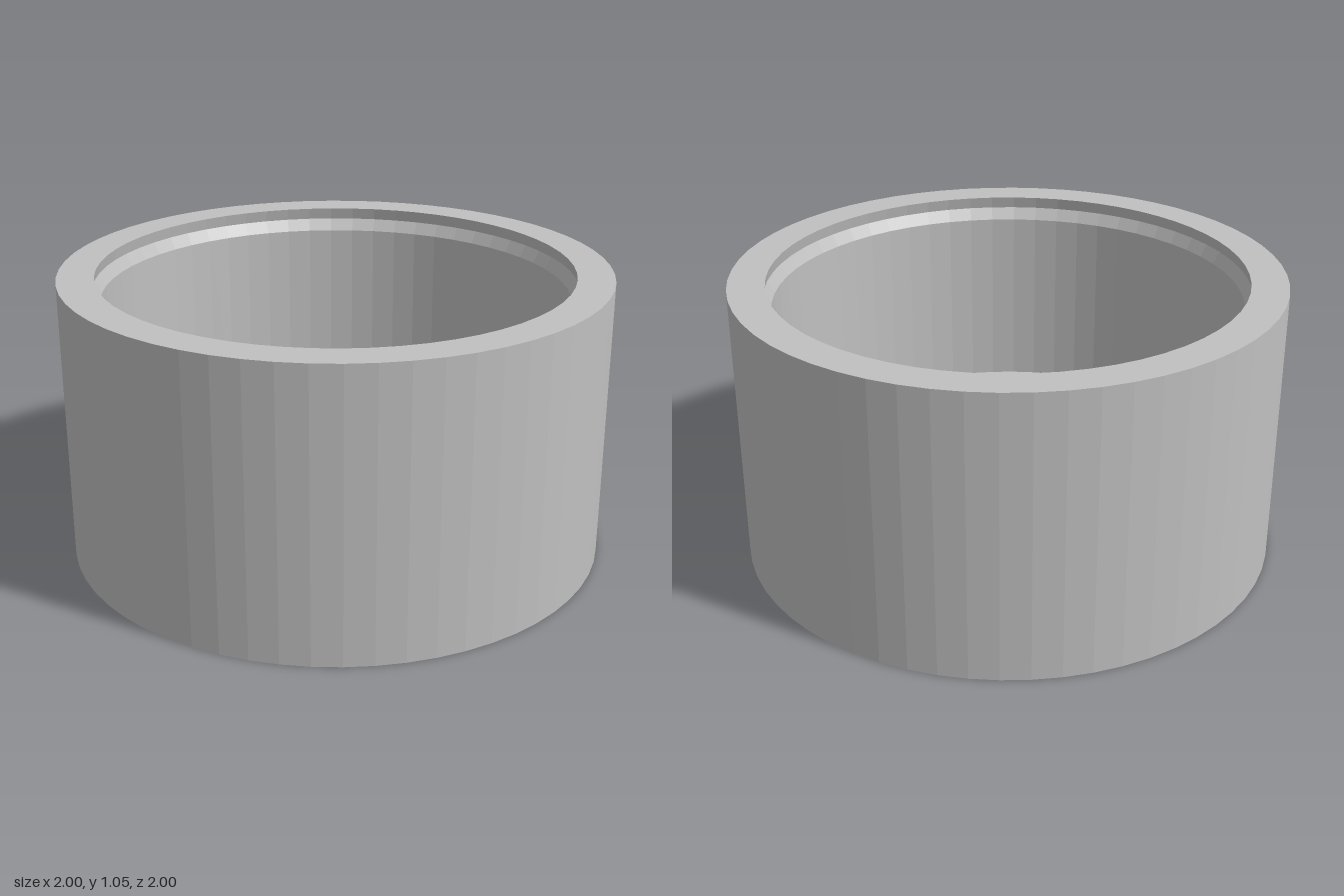
import * as THREE from 'three';
import { toCreasedNormals } from 'three/addons/utils/BufferGeometryUtils.js';

const HEIGHT = 1.05, FLOOR = 0.26, OUTER = 1, INNER = 0.85;
const SIDES = 60, HOLE_SIDES = 32;

// Bores through the floor: [x, z, radius]
const BORES = [[0, 0, 0.2]];
for (const x of [-0.47, 0.47]) for (const z of [-0.47, 0.47]) BORES.push([x, z, 0.12]);

// Points of a regular polygon, so that plates and turned walls share corners
function ring(cx, cy, r, n) {
  return Array.from({ length: n }, (_, i) => {
    const a = (i / n) * Math.PI * 2;
    return new THREE.Vector2(cx + r * Math.cos(a), cy + r * Math.sin(a));
  });
}

// Faceted turned surface; a profile running downwards faces the axis
function turned(profile, sides) {
  const points = profile.map(([r, y]) => new THREE.Vector2(r, y));
  return toCreasedNormals(new THREE.LatheGeometry(points, sides), 0.02);
}

// Flat disc pierced by all bores, lying in the xz plane
function piercedDisc(radius, y, facing) {
  const shape = new THREE.Shape(ring(0, 0, radius, SIDES));
  for (const [x, z, r] of BORES) shape.holes.push(new THREE.Path(ring(x, z, r, HOLE_SIDES)));
  const geometry = new THREE.ShapeGeometry(shape);
  geometry.rotateX(-facing * Math.PI / 2);
  geometry.translate(0, y, 0);
  return geometry;
}

export function createModel() {
  const model = new THREE.Group();
  model.name = 'cylindricalCup';
  const grey = new THREE.MeshStandardMaterial({ color: 0xc0c0c0 });
  grey.name = 'grey';

  function add(name, geometry, x = 0, z = 0) {
    const mesh = new THREE.Mesh(geometry, grey);
    mesh.name = name;
    mesh.position.set(x, 0, z);
    model.add(mesh);
  }

  // Outer wall, flat rim, shallow groove below the rim, and inner wall
  add('wall', turned([
    [OUTER, 0], [OUTER, HEIGHT], [0.866, HEIGHT],
    [0.875, 1.005], [INNER, 0.96], [INNER, FLOOR],
  ], SIDES));

  // Thick floor with its two faces
  add('floorTop', piercedDisc(INNER, FLOOR, 1));
  add('floorUnderside', piercedDisc(OUTER, 0, -1));

  // Walls of the centre bore and the four bolt holes
  BORES.forEach(([x, z, r], i) =>
    add(i === 0 ? 'centreBore' : `boltHole${i}`, turned([[r, FLOOR], [r, 0]], HOLE_SIDES), x, z));

  return model;
}
